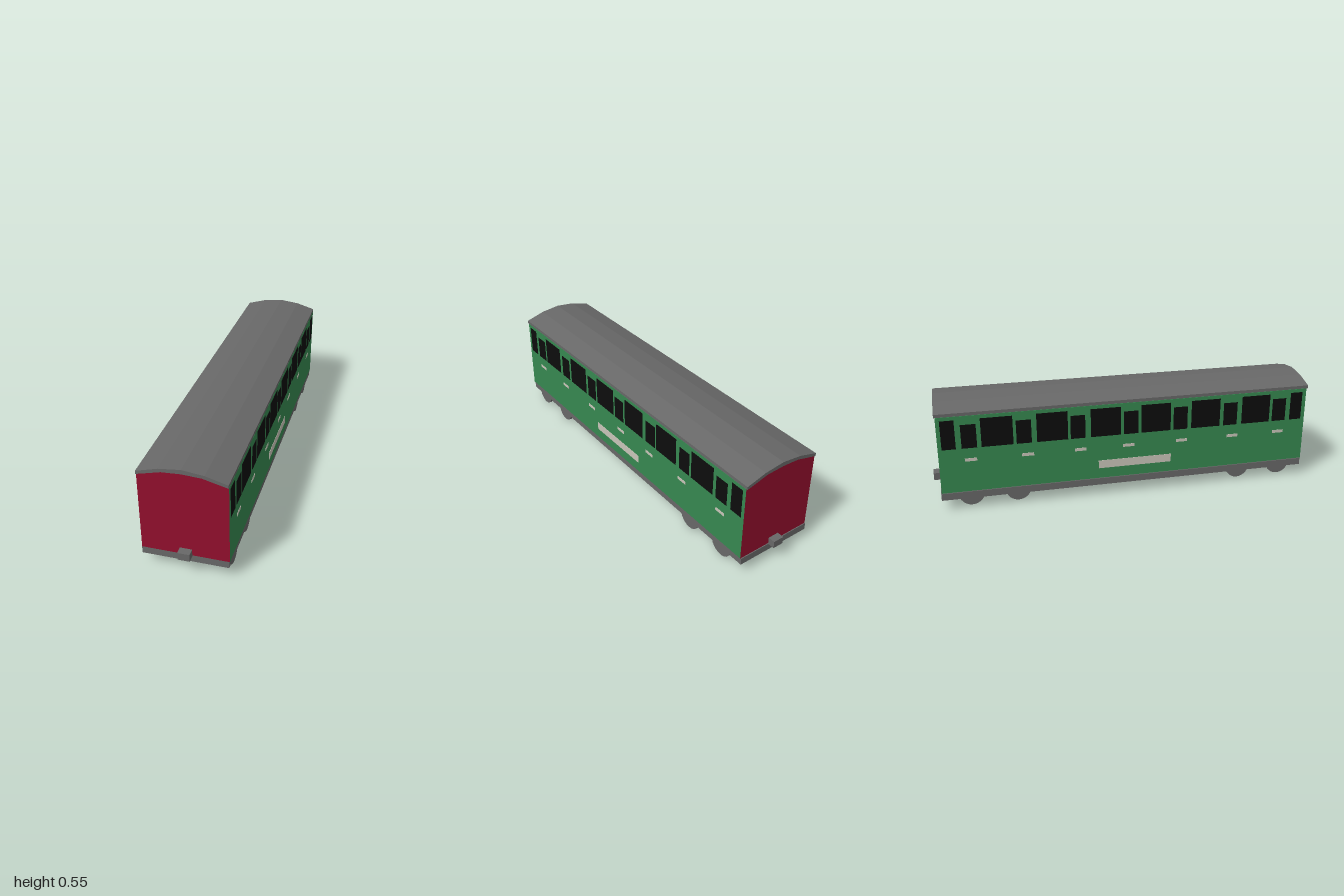
import * as THREE from 'three';

const paint = (name, color) => {
  const m = new THREE.MeshStandardMaterial({ color });
  m.name = name;
  return m;
};

export function createModel() {
  const model = new THREE.Group();
  model.name = 'railwayCarriage';

  const green = paint('sideGreen', 0x368850);
  const red = paint('endRed', 0x920f2d);
  const grey = paint('metalGrey', 0x686868);
  const black = paint('windowBlack', 0x0d0d0d);
  const cream = paint('trimCream', 0xc9c5b9);

  const add = (name, geometry, material, x = 0, y = 0, z = 0, parent = model) => {
    const mesh = new THREE.Mesh(geometry, material);
    mesh.name = name;
    mesh.position.set(x, y, z);
    parent.add(mesh);
    return mesh;
  };

  // Extrude an x-y outline along z between two ends
  const extrude = (points, z0, z1) => {
    const shape = new THREE.Shape(points.map(([x, y]) => new THREE.Vector2(x, y)));
    return new THREE.ExtrudeGeometry(shape, { depth: z1 - z0, bevelEnabled: false }).translate(0, 0, z0);
  };

  // Body: red ends, green sides, gently arched top
  const body = [[-0.205, 0.095], [0.205, 0.095], [0.205, 0.495], [0.1, 0.523],
    [0, 0.53], [-0.1, 0.523], [-0.205, 0.495]];
  add('body', extrude(body, -0.964, 0.962), [red, green]);

  // Faceted roof shell
  const roof = [[-0.205, 0.496], [-0.09, 0.526], [0, 0.531], [0.09, 0.526], [0.205, 0.496],
    [0.205, 0.512], [0.103, 0.541], [0, 0.553], [-0.103, 0.541], [-0.205, 0.512]];
  add('roof', extrude(roof, -0.97, 0.97), grey);

  // Underframe
  add('chassis', new THREE.BoxGeometry(0.408, 0.036, 1.926), grey, -0.003, 0.075, -0.004);

  // Couplers at both ends
  for (const s of [1, -1]) {
    add('coupler', new THREE.BoxGeometry(0.057, 0.038, 0.05), grey, 0.0035, 0.109, s * 0.975);
  }

  // Wheels
  const wheel = new THREE.CylinderGeometry(0.065, 0.065, 0.012, 24).rotateZ(Math.PI / 2);
  for (const x of [-0.161, 0.186]) {
    for (const z of [0.846, 0.61, -0.581, -0.817]) add('wheel', wheel, grey, x, 0.065, z);
  }

  // Painted side details, as [z centre, width]
  const tallWindows = [[0.908, 0.065], [0.68, 0.156], [0.402, 0.156], [0.134, 0.156],
    [-0.129, 0.156], [-0.402, 0.156], [-0.675, 0.156], [-0.911, 0.068]];
  const doorWindows = [0.812, 0.538, 0.265, 0.003, -0.273, -0.544, -0.812];
  const handles = [0.814, 0.554, 0.273, -0.01, -0.262, -0.528, -0.809];

  for (const side of [1, -1]) {
    const details = new THREE.Group();
    details.name = side > 0 ? 'leftSideDetails' : 'rightSideDetails';
    model.add(details);
    const plate = (name, material, z, width, y0, y1) =>
      add(name, new THREE.BoxGeometry(0.004, y1 - y0, width), material,
        side * 0.2045, (y0 + y1) / 2, z, details);

    for (const [z, w] of tallWindows) plate('compartmentWindow', black, z, w, 0.327, 0.477);
    for (const z of doorWindows) plate('doorWindow', black, z, 0.075, 0.327, 0.45);
    for (const z of handles) plate('doorHandle', cream, z, 0.06, 0.257, 0.273);
    plate('sidePanel', cream, 0.024, 0.386, 0.15, 0.193);
  }

  return model;
}
